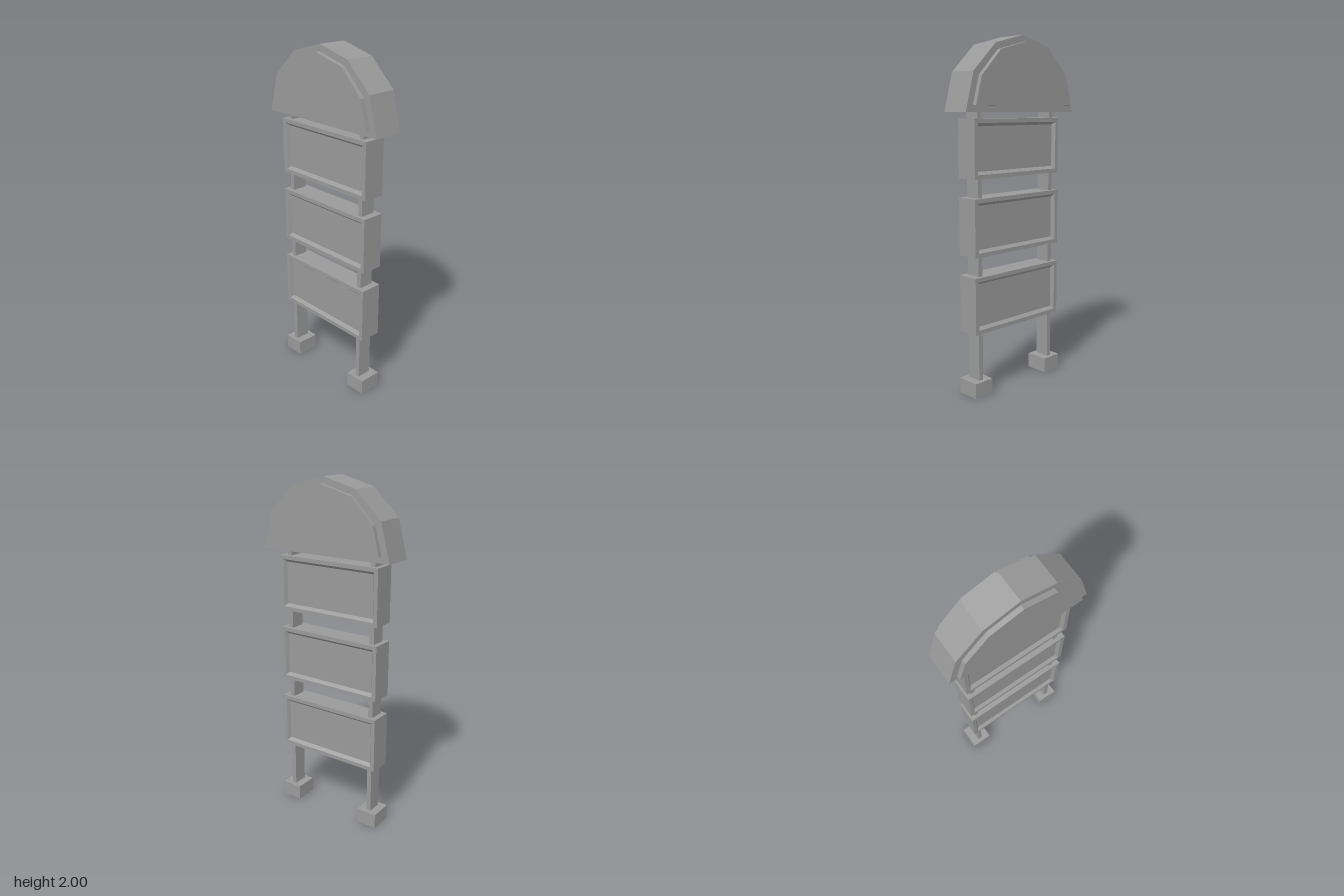
import * as THREE from 'three';

const material = new THREE.MeshStandardMaterial({ color: 0x999999, flatShading: true });

function addMesh(parent, name, geometry, x = 0, y = 0, z = 0) {
  const mesh = new THREE.Mesh(geometry, material);
  mesh.name = name;
  mesh.position.set(x, y, z);
  parent.add(mesh);
}

// Closed board lofted along x through rectangles [x, halfHeight, halfWidth].
function loftRects(rects) {
  const rings = rects.map(([x, h, w]) => [[x, -h, -w], [x, h, -w], [x, h, w], [x, -h, w]]);
  const positions = [];
  const quad = (a, b, c, d) => positions.push(...a, ...b, ...c, ...a, ...c, ...d);
  for (let i = 0; i < rings.length - 1; i++) {
    const a = rings[i], b = rings[i + 1];
    for (let j = 0; j < 4; j++) {
      const k = (j + 1) % 4;
      quad(a[j], a[k], b[k], b[j]);
    }
  }
  const first = rings[0], last = rings[rings.length - 1];
  quad(first[3], first[2], first[1], first[0]);
  quad(last[0], last[1], last[2], last[3]);
  const geometry = new THREE.BufferGeometry();
  geometry.setAttribute('position', new THREE.Float32BufferAttribute(positions, 3));
  geometry.computeVertexNormals();
  return geometry;
}

// Symmetric arch slab: half outline as [z, y], thickness along x.
function archSlab(half, thickness) {
  const mirrored = half.slice(0, -1).reverse().map(([z, y]) => [-z, y]);
  const shape = new THREE.Shape([...half, ...mirrored].map(([z, y]) => new THREE.Vector2(z, y)));
  const geometry = new THREE.ExtrudeGeometry(shape, { depth: thickness, bevelEnabled: false });
  geometry.translate(0, 0, -thickness / 2);
  return geometry.rotateY(Math.PI / 2);
}

function rectPoints(w, h) {
  return [[-w, -h], [w, -h], [w, h], [-w, h]].map(([x, y]) => new THREE.Vector2(x / 2, y / 2));
}

export function createModel() {
  const model = new THREE.Group();
  model.name = 'signpost';
  const centerX = -0.009;
  const postWidth = 0.088, postDepth = 0.028;

  // Feet with a slot that holds the post
  const footShape = new THREE.Shape(rectPoints(0.136, 0.124));
  footShape.holes.push(new THREE.Path(rectPoints(postWidth, postDepth).reverse()));
  const footGeometry = new THREE.ExtrudeGeometry(footShape, { depth: 0.087, bevelEnabled: false });
  footGeometry.rotateX(-Math.PI / 2);

  for (const [side, z] of [['front', 0.276], ['back', -0.284]]) {
    addMesh(model, side + 'Foot', footGeometry, centerX + 0.002, 0, z);
    addMesh(model, side + 'Post', new THREE.BoxGeometry(postWidth, 1.6, postDepth), centerX, 0.815, z);
  }

  // Sign boards with a bevelled recess on both faces
  const halfProfile = [
    [0.047, 0.122, 0.291],
    [0.066, 0.138, 0.305],
    [0.066, 0.161, 0.329],
  ];
  const boardGeometry = loftRects([
    ...halfProfile.map(([x, h, w]) => [-x, h, w]),
    ...[...halfProfile].reverse(),
  ]);
  [['lowerBoard', 0.526], ['middleBoard', 0.961], ['upperBoard', 1.389]].forEach(([name, y]) =>
    addMesh(model, name, boardGeometry, centerX, y, 0.001));

  // Faceted arched header with a raised plate on both faces
  const header = new THREE.Group();
  header.name = 'header';
  model.add(header);
  addMesh(header, 'headerBody',
    archSlab([[0.414, 1.584], [0.358, 1.796], [0.203, 1.946], [0, 2]], 0.174));
  addMesh(header, 'headerPlates',
    archSlab([[0.366, 1.62], [0.324, 1.775], [0.188, 1.912], [0, 1.963]], 0.227));

  return model;
}
